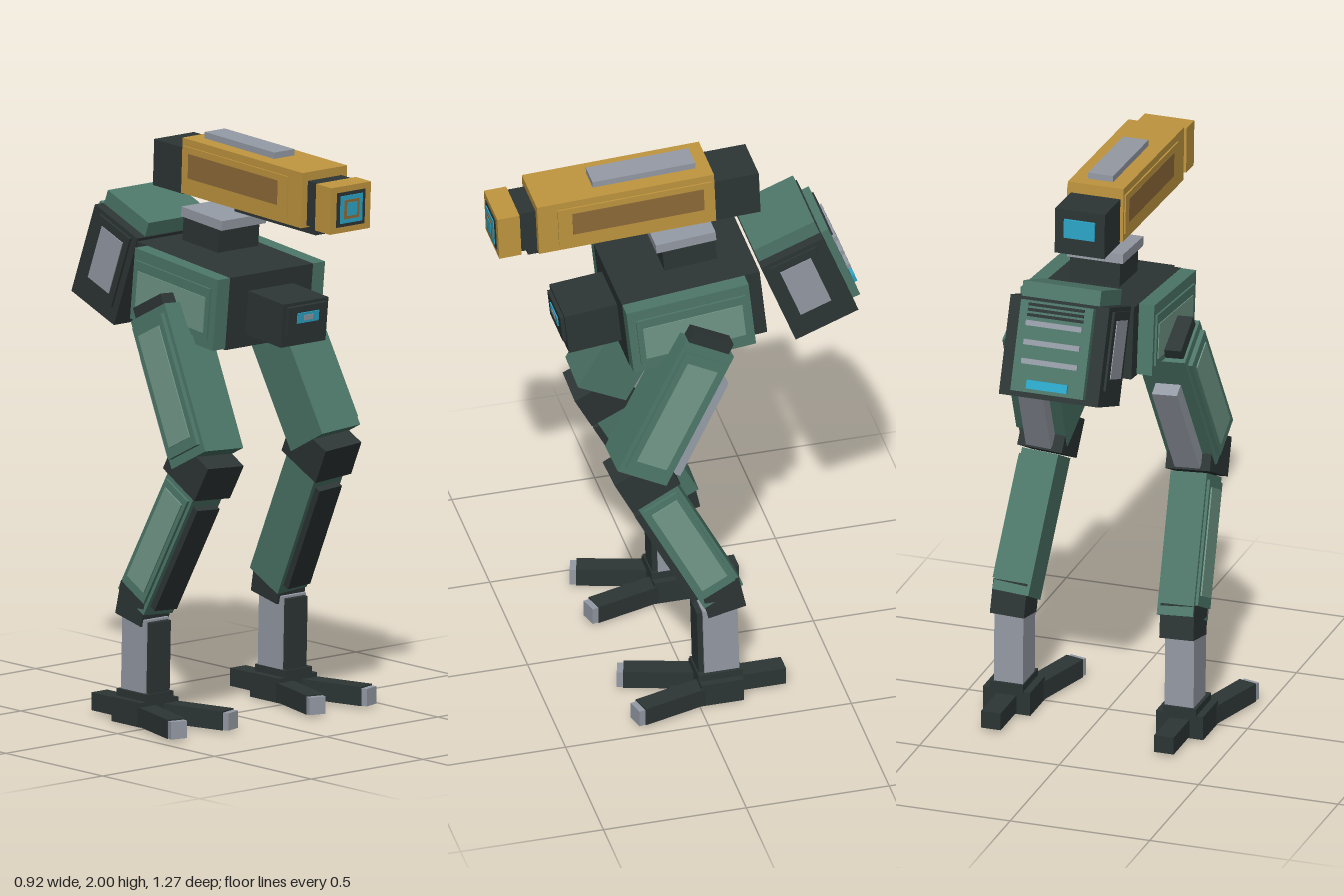
import * as THREE from 'three';

const mat = (name, color) => {
  const m = new THREE.MeshStandardMaterial({ color });
  m.name = name;
  return m;
};
const deg = THREE.MathUtils.degToRad;

export function createModel() {
  const dark = mat('dark metal', 0x2d3535);
  const green = mat('armour green', 0x4d7769);
  const pale = mat('pale green', 0x719787);
  const ochre = mat('ochre', 0xc0963f);
  const brown = mat('brown', 0x8e6a38);
  const grey = mat('grey metal', 0x959ba5);
  const cyan = mat('glowing cyan', 0x2ca6c8);

  const model = new THREE.Group();
  model.name = 'walker';

  // Pivot group: tilted about x, then splayed about z
  const pivot = (parent, name, x, y, z, tilt = 0, splay = 0) => {
    const g = new THREE.Group();
    g.name = name;
    g.position.set(x, y, z);
    g.rotation.set(deg(tilt), 0, deg(splay), 'ZYX');
    parent.add(g);
    return g;
  };
  // Box: size (w, h, d) at centre (x, y, z)
  const box = (parent, name, m, w, h, d, x = 0, y = 0, z = 0) => {
    const mesh = new THREE.Mesh(new THREE.BoxGeometry(w, h, d), m);
    mesh.name = name;
    mesh.position.set(x, y, z);
    parent.add(mesh);
    return mesh;
  };

  // Cannon head
  const gun = pivot(model, 'cannonHead', 0, 1.876, 0.18, 2.4);
  box(gun, 'cannonBody', ochre, 0.2, 0.192, 0.62);
  box(gun, 'topPlate', grey, 0.09, 0.026, 0.36, 0, 0.105, -0.08);
  box(gun, 'underRail', dark, 0.12, 0.03, 0.42, 0, -0.105, 0.13);
  box(gun, 'collar', dark, 0.15, 0.155, 0.1, 0, -0.012, 0.34);
  box(gun, 'muzzle', ochre, 0.178, 0.162, 0.078, 0, -0.012, 0.408);
  box(gun, 'lensFrame', dark, 0.125, 0.12, 0.004, 0, -0.012, 0.448);
  box(gun, 'lensRing', cyan, 0.098, 0.096, 0.004, 0, -0.012, 0.451);
  box(gun, 'lensInner', brown, 0.066, 0.066, 0.004, 0, -0.012, 0.453);
  box(gun, 'lensCore', cyan, 0.044, 0.046, 0.004, 0, -0.012, 0.455);
  box(gun, 'rearBlock', dark, 0.178, 0.16, 0.16, 0, -0.022, -0.388);
  box(gun, 'rearLight', cyan, 0.11, 0.066, 0.009, 0, -0.008, -0.472);
  for (const s of [-1, 1]) {
    box(gun, 'sideRidge', ochre, 0.006, 0.14, 0.54, s * 0.1025, 0, -0.03);
    box(gun, 'sideInset', brown, 0.004, 0.085, 0.46, s * 0.1055, 0.005, -0.04);
  }

  // Neck
  const neck = pivot(model, 'neck', 0, 1.665, -0.043, 5);
  box(neck, 'neckBlock', dark, 0.18, 0.09, 0.185);
  box(neck, 'neckPlate', grey, 0.2, 0.034, 0.21, 0, 0.056, 0.01);

  // Body with layered side armour
  const body = pivot(model, 'body', 0, 1.464, -0.035, 6);
  box(body, 'hull', dark, 0.37, 0.255, 0.485);
  for (const s of [-1, 1]) {
    box(body, 'sideArmour', green, 0.055, 0.25, 0.43, s * 0.2125, 0.002, 0.026);
    box(body, 'sideFrame', green, 0.01, 0.18, 0.385, s * 0.242, -0.002, 0.02);
    box(body, 'sideInset', pale, 0.006, 0.125, 0.35, s * 0.247, -0.008, 0.018);
  }

  // Snout with sensor
  const snout = pivot(model, 'snout', 0, 1.425, 0.28, 6);
  box(snout, 'snoutBlock', dark, 0.2, 0.152, 0.22);
  box(snout, 'snoutBrow', dark, 0.17, 0.1, 0.016, 0, 0.015, 0.115);
  box(snout, 'sensor', cyan, 0.095, 0.036, 0.006, 0, 0.024, 0.124);
  box(snout, 'sensorCore', grey, 0.04, 0.018, 0.004, 0, 0.024, 0.127);

  // Tilted back pack
  const pack = pivot(model, 'backPack', 0, 1.507, -0.44, 21);
  box(pack, 'packCore', dark, 0.355, 0.34, 0.235);
  box(pack, 'packCap', green, 0.28, 0.056, 0.226, 0, 0.195, 0);
  box(pack, 'packBackPlate', green, 0.26, 0.31, 0.03, 0, 0.005, -0.13);
  for (const s of [-1, 1]) {
    box(pack, 'sideFrame', dark, 0.01, 0.27, 0.17, s * 0.181, 0.02, 0.006);
    box(pack, 'sidePanel', grey, 0.006, 0.2, 0.115, s * 0.186, 0.025, 0.008);
  }
  for (let i = 0; i < 3; i++) {
    box(pack, 'louver', grey, 0.2, 0.018, 0.014, 0, 0.085 - i * 0.065, -0.151);
  }
  for (let i = 0; i < 3; i++) {
    box(pack, 'topSlat', dark, 0.2, 0.01, 0.008, 0, 0.148 - i * 0.018, -0.147);
  }
  box(pack, 'packLight', cyan, 0.146, 0.03, 0.012, 0, -0.122, -0.15);

  // Legs: s = 1 is the left leg, s = -1 the right
  for (const s of [-1, 1]) {
    const leg = pivot(model, s > 0 ? 'leftLeg' : 'rightLeg', 0, 0, 0);

    const thigh = pivot(leg, 'thigh', s * 0.25, 1.183, 0.07, -27.4, s * 3.5);
    box(thigh, 'thighCore', green, 0.17, 0.53, 0.19);
    box(thigh, 'thighPlate', green, 0.018, 0.47, 0.16, s * 0.092, 0, 0);
    box(thigh, 'thighInset', pale, 0.006, 0.4, 0.115, s * 0.102, 0, 0);
    box(thigh, 'thighPiston', grey, 0.09, 0.38, 0.05, 0, -0.043, -0.12);
    box(thigh, 'hipJoint', dark, 0.07, 0.08, 0.155, s * 0.04, 0.265, 0);

    const shin = pivot(leg, 'shin', s * 0.283, 0.635, 0.022, 27.4, s * 3.8);
    box(shin, 'kneeJoint', dark, 0.16, 0.135, 0.19, 0, 0.318, 0.003);
    box(shin, 'shinCore', green, 0.13, 0.49, 0.155);
    box(shin, 'shinGuard', dark, 0.1, 0.42, 0.028, 0, 0, 0.088);
    box(shin, 'shinPlate', green, 0.012, 0.43, 0.13, s * 0.069, 0.01, 0);
    box(shin, 'shinInset', pale, 0.006, 0.37, 0.1, s * 0.077, 0.015, 0);

    const ankle = pivot(leg, 'ankle', s * 0.306, 0.24, -0.082, 1.5);
    const joint = pivot(leg, 'ankleJoint', s * 0.302, 0.415, -0.09, 12, s * 2);
    box(joint, 'ankleBlock', dark, 0.122, 0.12, 0.135);
    box(ankle, 'ankleStrut', grey, 0.104, 0.26, 0.122);
    box(ankle, 'ankleGuard', dark, 0.088, 0.245, 0.02, 0, 0, 0.07);

    // Foot: hub, rear spur and two splayed toes
    const foot = pivot(leg, 'foot', s * 0.31, 0, 0);
    box(foot, 'footHub', dark, 0.17, 0.085, 0.15, 0, 0.048, -0.078);
    box(foot, 'footTop', dark, 0.12, 0.03, 0.155, 0, 0.1, -0.078);
    box(foot, 'rearToe', dark, 0.07, 0.062, 0.2, 0, 0.042, -0.213);
    for (const t of [-1, 1]) {
      const toe = pivot(foot, 'frontToe', t * 0.055, 0.042, 0);
      toe.rotation.y = t * deg(15.6);
      box(toe, 'toeBar', dark, 0.068, 0.066, 0.29, 0, 0, 0.08);
      box(toe, 'toeClaw', grey, 0.06, 0.06, 0.024, 0, -0.002, 0.235);
    }
    box(foot, 'footSole', dark, 0.1, 0.02, 0.16, 0, 0.01, 0.0);
  }
  return model;
}
